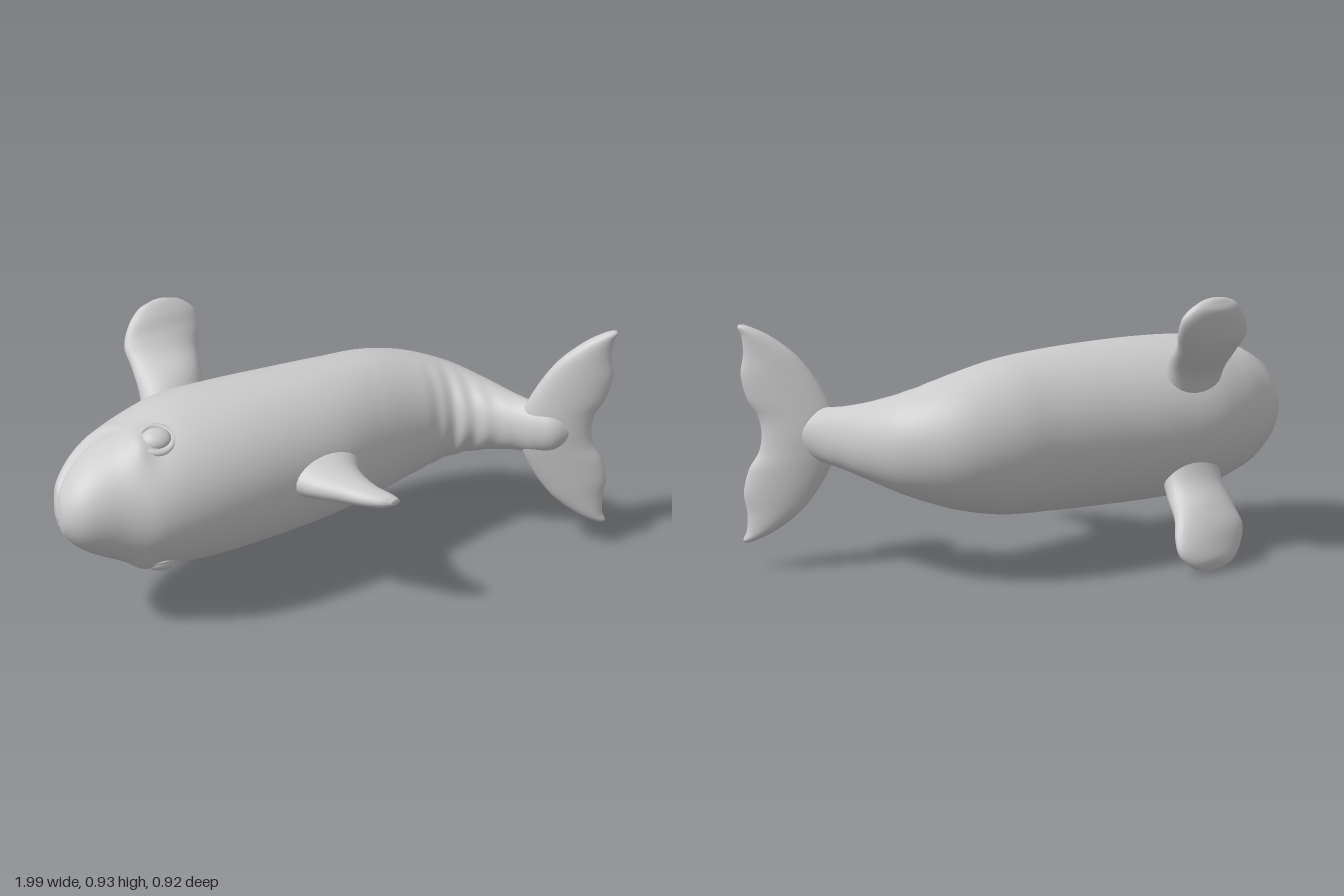
import * as THREE from 'three';

const MID = 0.473; // height of the mirror plane
const V = (x, y, z) => new THREE.Vector3(x, y, z);

// Smooth closed loft. Rows: [ax,ay,az, bx,by,bz, half thickness along n].
// Every ring is an ellipse spanning edge a to edge b; y is measured from MID.
function loft(rows, n, steps, sides, shape) {
  const curve = (pts) => new THREE.CatmullRomCurve3(pts, false, 'catmullrom', 0.5);
  const ca = curve(rows.map((r) => V(r[0], r[1], r[2])));
  const cb = curve(rows.map((r) => V(r[3], r[4], r[5])));
  const ct = curve(rows.map((r) => V(r[6], 0, 0)));
  const count = (rows.length - 1) * steps;
  const pos = [], index = [];
  const push = (p) => pos.push(p.x, p.y + MID, p.z);
  const centres = [];
  for (let i = 0; i <= count; i++) {
    const u = i / count;
    const a = ca.getPoint(u), b = cb.getPoint(u);
    const t = Math.max(ct.getPoint(u).x, 0.002);
    const c = a.clone().add(b).multiplyScalar(0.5);
    const h = a.clone().sub(c);
    centres.push(c);
    for (let j = 0; j < sides; j++) {
      const q = (j / sides) * Math.PI * 2;
      const p = c.clone().addScaledVector(h, Math.cos(q)).addScaledVector(n, t * Math.sin(q));
      if (shape) p.addScaledVector(p.clone().sub(c).normalize(), shape(p, Math.cos(q)));
      push(p);
    }
  }
  for (let i = 0; i < count; i++) {
    for (let j = 0; j < sides; j++) {
      const k = (j + 1) % sides, r = i * sides, s = r + sides;
      index.push(r + j, s + j, s + k, r + j, s + k, r + k);
    }
  }
  const first = pos.length / 3, last = count * sides;
  push(centres[0]);
  push(centres[count]);
  for (let j = 0; j < sides; j++) {
    const k = (j + 1) % sides;
    index.push(first, j, k, first + 1, last + k, last + j);
  }
  // Turn the faces outward when the enclosed volume is negative
  const at = (i) => V(pos[3 * i], pos[3 * i + 1], pos[3 * i + 2]);
  let volume = 0;
  for (let i = 0; i < index.length; i += 3) {
    volume += at(index[i]).dot(at(index[i + 1]).cross(at(index[i + 2])));
  }
  if (volume < 0) index.reverse();
  const g = new THREE.BufferGeometry();
  g.setAttribute('position', new THREE.Float32BufferAttribute(pos, 3));
  g.setIndex(index);
  g.computeVertexNormals();
  return g;
}

const bump = (d, w) => Math.exp(-(d * d) / (w * w));

// Mouth groove, brow ridges and skin folds near the tail
function bodyDetail(p, back) {
  let d = 0;
  const x = p.x + 0.83;
  const mouth = 0.08 + (x < 0 ? 3.4 * x * x : 8 * x * x);
  const fade = THREE.MathUtils.smoothstep(-p.x, 0.75, 0.8);
  d -= 0.016 * fade * bump(p.z - mouth, 0.014);
  d += 0.008 * fade * bump(p.z - mouth + 0.04, 0.025);
  d += 0.024 * bump(p.x + 0.73, 0.045) * bump(p.z - 0.21, 0.07) * bump(Math.abs(p.y) - 0.22, 0.08);
  d += 0.006 * Math.max(back, 0) * bump(p.x - 0.5, 0.1) * Math.sin(p.x * 90);
  return d;
}

export function createModel() {
  const model = new THREE.Group();
  const material = new THREE.MeshStandardMaterial({ color: 0xcccccc, roughness: 0.7 });
  const add = (name, geometry) => {
    const mesh = new THREE.Mesh(geometry, material);
    mesh.name = name;
    model.add(mesh);
    return mesh;
  };

  // Body: back x, z, belly x, z, half width
  const body = [
    [-0.998, 0.2, -0.997, 0.13, 0.03],
    [-0.982, 0.25, -0.98, 0.06, 0.085],
    [-0.92, 0.295, -0.925, -0.03, 0.15],
    [-0.8, 0.315, -0.85, -0.1, 0.212],
    [-0.68, 0.345, -0.74, -0.19, 0.25],
    [-0.56, 0.34, -0.6, -0.265, 0.28],
    [-0.4, 0.305, -0.42, -0.31, 0.287],
    [-0.2, 0.24, -0.2, -0.35, 0.284],
    [0, 0.165, 0.02, -0.395, 0.275],
    [0.17, 0.08, 0.22, -0.435, 0.26],
    [0.32, 0.01, 0.4, -0.425, 0.224],
    [0.45, -0.035, 0.56, -0.34, 0.175],
    [0.55, 0, 0.66, -0.22, 0.134],
    [0.64, 0.06, 0.72, -0.1, 0.106],
    [0.71, 0.125, 0.775, 0.01, 0.09],
    [0.78, 0.16, 0.83, 0.065, 0.07],
    [0.88, 0.14, 0.89, 0.115, 0.012],
  ].map(([ax, az, bx, bz, w]) => [ax, 0, az, bx, 0, bz, w]);
  add('body', loft(body, V(0, 1, 0), 12, 72, bodyDetail));

  // Dorsal fin: front x, z, rear x, z, half thickness
  const dorsal = [
    [-0.28, 0.12, 0.1, 0.02, 0.1],
    [-0.23, 0.21, 0.05, 0.14, 0.078],
    [-0.17, 0.29, 0.028, 0.21, 0.058],
    [-0.1, 0.355, 0.03, 0.29, 0.043],
    [-0.04, 0.415, 0.045, 0.36, 0.032],
    [0.01, 0.45, 0.075, 0.42, 0.022],
    [0.05, 0.462, 0.083, 0.447, 0.01],
  ].map(([ax, az, bx, bz, t]) => [ax, 0, az, bx, 0, bz, t]);
  add('dorsalFin', loft(dorsal, V(0, 1, 0), 8, 32));

  // Tail flukes: offset from the middle, leading x, trailing x, half thickness
  const half = [
    [0, 0.68, 0.925, 0.05],
    [0.06, 0.688, 0.935, 0.048],
    [0.12, 0.71, 0.968, 0.045],
    [0.2, 0.755, 0.986, 0.04],
    [0.27, 0.81, 0.977, 0.034],
    [0.33, 0.885, 0.98, 0.027],
    [0.36, 0.942, 0.992, 0.018],
    [0.371, 0.97, 0.988, 0.006],
  ];
  const mirrored = half.slice(1).reverse().map(([y, ...rest]) => [-y, ...rest]);
  const tilt = (x) => 0.07 + 0.32 * (x - 0.72);
  const flukes = [...mirrored, ...half].map(([y, a, b, t]) => [a, y, tilt(a), b, y, tilt(b), t]);
  add('tailFlukes', loft(flukes, V(-0.3, 0, 0.95), 8, 32));

  // Paired flippers and eyes
  const flipper = [
    [-0.63, 0.12, -0.11, -0.39, 0.12, -0.22, 0.09],
    [-0.625, 0.22, -0.19, -0.39, 0.22, -0.275, 0.07],
    [-0.632, 0.285, -0.275, -0.378, 0.285, -0.355, 0.053],
    [-0.643, 0.337, -0.325, -0.358, 0.345, -0.405, 0.047],
    [-0.62, 0.395, -0.36, -0.362, 0.398, -0.435, 0.042],
    [-0.575, 0.44, -0.395, -0.41, 0.44, -0.445, 0.03],
    [-0.52, 0.46, -0.415, -0.47, 0.46, -0.43, 0.008],
  ];
  for (const s of [1, -1]) {
    const side = s > 0 ? 'upper' : 'lower';
    const rows = flipper.map(([ax, ay, az, bx, by, bz, t]) => [ax, s * ay, az, bx, s * by, bz, t]);
    add(side + 'Flipper', loft(rows, V(0.22, s * 0.68, 0.7), 8, 32));

    const eye = add(side + 'Eye', new THREE.SphereGeometry(1, 24, 16));
    eye.scale.set(0.05, 0.028, 0.042);
    eye.position.set(-0.665, MID + s * 0.226, 0.2);
    eye.rotation.x = s * 0.5;

    // Raised lid around the eye
    const lid = add(side + 'Eyelid', new THREE.TorusGeometry(0.054, 0.012, 10, 32));
    lid.position.set(-0.665, MID + s * 0.222, 0.2);
    lid.rotation.x = Math.PI / 2 + s * 0.5;
  }
  return model;
}
